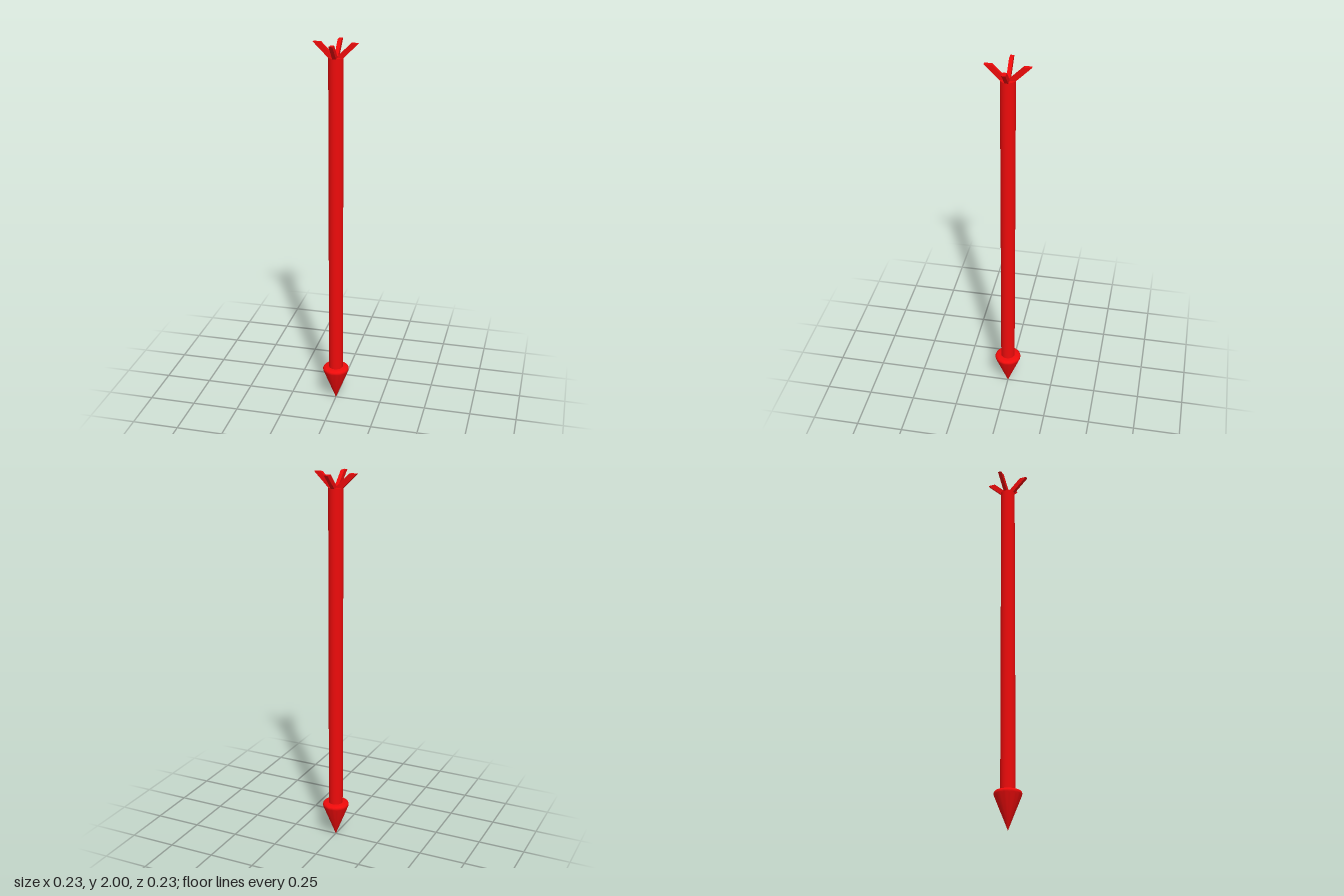
import * as THREE from 'three';
import { toCreasedNormals } from 'three/addons/utils/BufferGeometryUtils.js';

export function createModel() {
  const model = new THREE.Group();
  model.name = 'arrow';
  const red = new THREE.MeshStandardMaterial({ color: 0xee0b0b });

  const add = (name, geometry) => {
    const mesh = new THREE.Mesh(geometry, red);
    mesh.name = name;
    model.add(mesh);
    return mesh;
  };

  // Conical head, point down, with a softly rounded rim
  const profile = [
    [0, 0], [0.067, 0.17], [0.07, 0.178], [0.071, 0.184],
    [0.069, 0.191], [0.064, 0.196], [0.058, 0.198], [0, 0.198],
  ].map(([r, y]) => new THREE.Vector2(r, y));
  add('head', toCreasedNormals(new THREE.LatheGeometry(profile, 48), 0.75));

  // Long straight shaft
  const bottom = 0.19, top = 1.926;
  add('shaft', new THREE.CylinderGeometry(0.038, 0.038, top - bottom, 48))
    .position.y = (top + bottom) / 2;

  // Four slanted fins spreading from the shaft's end, cut level at the top
  const thickness = 0.019;
  const outline = new THREE.Shape([
    new THREE.Vector2(0, 1.924),
    new THREE.Vector2(0.038, 1.924),
    new THREE.Vector2(0.115, 2),
    new THREE.Vector2(0.077, 2),
  ]);
  const finGeometry = new THREE.ExtrudeGeometry(outline, { depth: thickness, bevelEnabled: false });
  finGeometry.translate(0, 0, -thickness / 2);
  ['leftFin', 'backFin', 'rightFin', 'frontFin'].forEach((name, i) => {
    add(name, finGeometry).rotation.y = i * Math.PI / 2;
  });

  return model;
}
